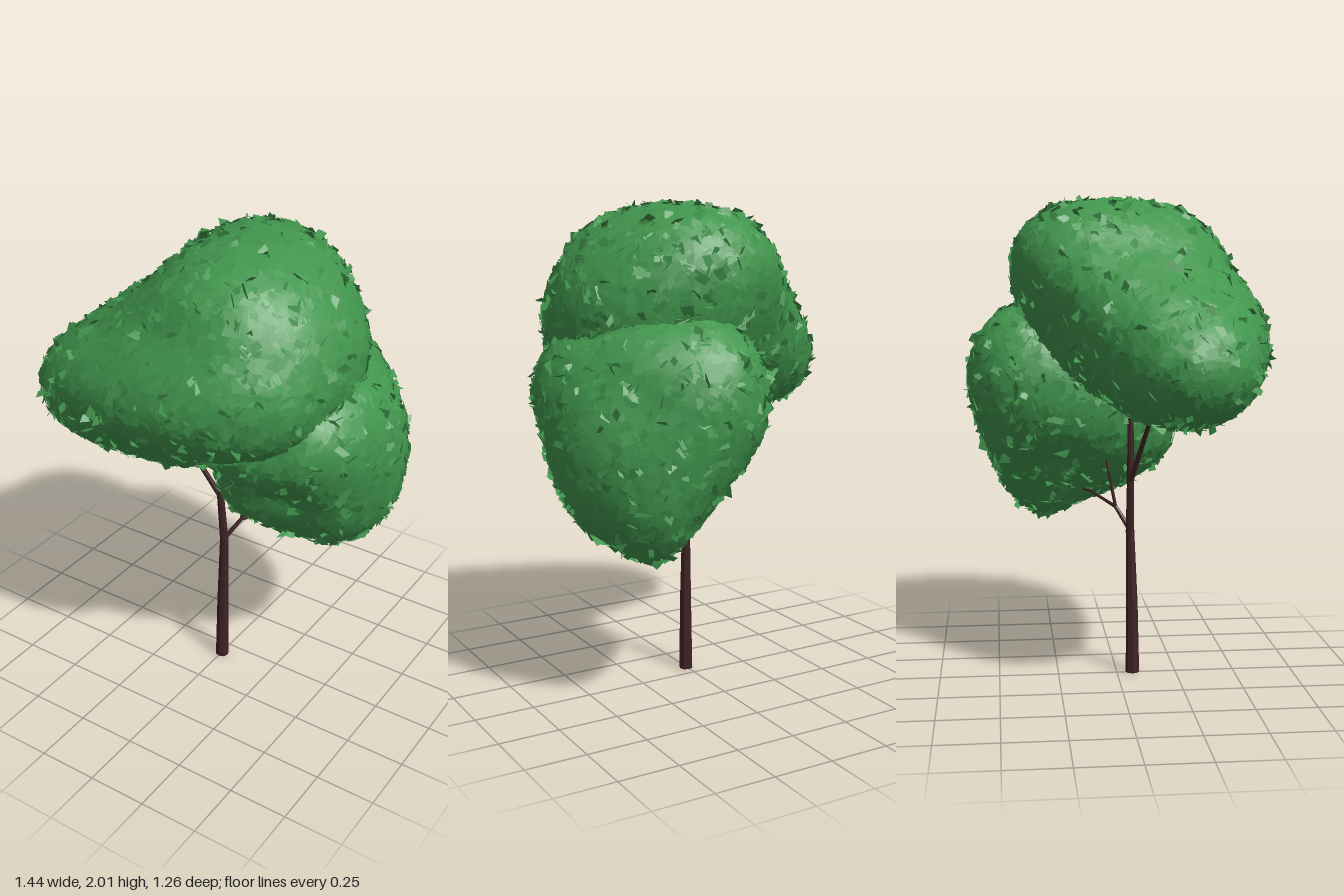
import * as THREE from 'three';
import { mergeGeometries, mergeVertices } from 'three/addons/utils/BufferGeometryUtils.js';

const V = (x, y, z) => new THREE.Vector3(x, y, z);

// Small seeded random generator
let seed = 7;
function rand() {
  seed = (seed * 1664525 + 1013904223) >>> 0;
  return seed / 4294967296;
}
const spread = (a) => (rand() * 2 - 1) * a;

// Foliage clump: ellipsoids (centre, radii), with pairs of them bridged by in-between ones
function makeClump(centre, lobes, links) {
  const all = [...lobes];
  for (const [a, b] of links) {
    for (const t of [0.25, 0.5, 0.75]) {
      all.push([0, 1].map((i) => lobes[a][i].clone().lerp(lobes[b][i], t)));
    }
  }
  return { centre, lobes: all };
}
const CROWN = makeClump(V(0.0, 1.5, 0.12), [
  [V(0.14, 1.57, 0.05), V(0.455, 0.4, 0.43)],
  [V(-0.43, 1.34, 0.24), V(0.28, 0.23, 0.27)],
  [V(-0.05, 1.45, 0.34), V(0.43, 0.22, 0.26)],
  [V(0.06, 1.74, -0.2), V(0.3, 0.23, 0.23)],
  [V(0.25, 1.52, 0.2), V(0.31, 0.3, 0.33)],
  [V(0.13, 1.68, 0.15), V(0.38, 0.3, 0.33)],
  [V(-0.07, 1.32, 0.2), V(0.38, 0.23, 0.28)],
], [[0, 1], [0, 2], [1, 2], [1, 3], [2, 4], [1, 6], [0, 3], [3, 5]]);
const SIDE = makeClump(V(0.33, 1.13, -0.18), [
  [V(0.425, 1.06, -0.17), V(0.27, 0.39, 0.3)],
  [V(0.15, 1.27, -0.36), V(0.24, 0.3, 0.26)],
  [V(0.21, 1.1, 0.06), V(0.22, 0.27, 0.23)],
  [V(0.48, 1.28, 0.0), V(0.2, 0.23, 0.31)],
  [V(0.37, 0.95, -0.28), V(0.21, 0.33, 0.24)],
  [V(0.36, 1.34, -0.2), V(0.24, 0.23, 0.24)],
  [V(0.24, 1.23, 0.13), V(0.23, 0.2, 0.24)],
], [[0, 1], [0, 2], [0, 3], [1, 5], [1, 4], [3, 6], [1, 2]]);

// Approximate signed distance to a clump, with soft joins between lobes
function distance(clump, p) {
  const k = 0.06;
  let d = 10;
  for (const [c, r] of clump.lobes) {
    const q = p.clone().sub(c).divide(r);
    const len = q.length();
    const e = (len * (len - 1)) / Math.max(q.divide(r).length(), 1e-6);
    const h = Math.max(k - Math.abs(d - e), 0) / k;
    d = Math.min(d, e) - h * h * k * 0.25;
  }
  return d + 0.013;
}

// Sphere shrunk from outside onto the clump surface
function clumpGeometry(clump) {
  let g = new THREE.IcosahedronGeometry(1, 24);
  g.deleteAttribute('normal');
  g.deleteAttribute('uv');
  g = mergeVertices(g, 1e-4);
  const pos = g.attributes.position;
  const dir = V(0, 0, 0);
  const p = V(0, 0, 0);
  for (let i = 0; i < pos.count; i++) {
    dir.fromBufferAttribute(pos, i).normalize();
    let t = 1.2;
    for (let s = 0; s < 35; s++) {
      p.copy(clump.centre).addScaledVector(dir, t);
      t -= distance(clump, p) * 0.75;
    }
    pos.setXYZ(i, p.x, p.y, p.z);
  }
  g.computeVertexNormals();
  return g;
}

// Irregular leaf flakes scattered evenly over a clump, skipping hidden places
function leafGeometry(surface, other) {
  const positions = [];
  const normals = [];
  const pos = surface.attributes.position;
  const index = surface.index;
  const tri = new THREE.Triangle();
  const n = V(0, 0, 0);
  const c = V(0, 0, 0);
  for (let i = 0; i < index.count; i += 3) {
    tri.setFromAttributeAndIndices(pos, index.getX(i), index.getX(i + 1), index.getX(i + 2));
    if (rand() > tri.getArea() / 0.0008) continue;
    tri.getMidpoint(c);
    if (distance(other, c) < -0.03) continue;
    tri.getNormal(n);
    // Most leaves lie flat, a few stick out
    const loose = rand() < 0.2;
    const tilt = loose ? 1.0 : 0.25;
    const up = n.clone().add(V(spread(tilt), spread(tilt), spread(tilt))).normalize();
    const u = V(spread(1), spread(1), spread(1)).cross(up).normalize();
    const w = up.clone().cross(u);
    c.addScaledVector(n, 0.003 + spread(0.007));
    const length = 0.02 + rand() * 0.018;
    const width = 0.012 + rand() * 0.012;
    const corner = (a, b) => c.clone()
      .addScaledVector(u, a * length * (0.7 + rand() * 0.6))
      .addScaledVector(w, b * width * (0.7 + rand() * 0.6));
    const q = [corner(-1, -0.7), corner(0.8, -1), corner(1, 0.6), corner(-0.6, 1)];
    const shade = n.clone().lerp(up, loose ? 0.8 : 0.4).normalize();
    for (const j of [0, 1, 2, 0, 2, 3]) {
      positions.push(...q[j].toArray());
      normals.push(...shade.toArray());
    }
  }
  const g = new THREE.BufferGeometry();
  g.setAttribute('position', new THREE.Float32BufferAttribute(positions, 3));
  g.setAttribute('normal', new THREE.Float32BufferAttribute(normals, 3));
  return g;
}

// Tapered limb through points [x, y, z, radius]
function limbGeometry(points) {
  const parts = [];
  for (let i = 0; i < points.length - 1; i++) {
    const a = V(...points[i].slice(0, 3));
    const b = V(...points[i + 1].slice(0, 3));
    const axis = b.clone().sub(a);
    const g = new THREE.CylinderGeometry(points[i + 1][3], points[i][3], axis.length(), 8);
    g.applyQuaternion(new THREE.Quaternion().setFromUnitVectors(V(0, 1, 0), axis.normalize()));
    const mid = a.add(b).multiplyScalar(0.5);
    g.translate(mid.x, mid.y, mid.z);
    parts.push(g);
  }
  return mergeGeometries(parts);
}

export function createModel() {
  seed = 7;
  const tree = new THREE.Group();
  tree.name = 'tree';
  const bark = new THREE.MeshStandardMaterial({ color: 0x3e2224, flatShading: true });
  bark.name = 'dark bark';
  const green = new THREE.MeshStandardMaterial({ color: 0x41954d, side: THREE.DoubleSide });
  green.name = 'leaf green';

  const add = (name, geometry, material) => {
    const mesh = new THREE.Mesh(geometry, material);
    mesh.name = name;
    tree.add(mesh);
  };

  // Trunk and branches
  const limbs = {
    trunk: [[0.003, 0, 0.067, 0.029], [0.006, 0.3, 0.064, 0.025], [0.008, 0.62, 0.056, 0.018],
      [-0.01, 0.84, 0.056, 0.015], [-0.012, 1.25, 0.056, 0.011]],
    rightBranch: [[-0.01, 0.83, 0.056, 0.012], [-0.15, 1.1, 0.12, 0.009], [-0.28, 1.3, 0.18, 0.006]],
    leftBranch: [[0.008, 0.62, 0.056, 0.011], [0.06, 0.71, 0.0, 0.008],
      [0.2, 0.757, -0.1, 0.006], [0.33, 0.765, -0.19, 0.005]],
    leftTwig: [[0.06, 0.71, 0.0, 0.007], [0.055, 0.86, -0.03, 0.006], [0.07, 1.0, -0.05, 0.005]],
  };
  for (const [name, points] of Object.entries(limbs)) add(name, limbGeometry(points), bark);

  // Foliage clumps with their leaves
  for (const [name, clump, other] of [['crown', CROWN, SIDE], ['sideClump', SIDE, CROWN]]) {
    const surface = clumpGeometry(clump);
    add(name + 'Foliage', surface, green);
    add(name + 'Leaves', leafGeometry(surface, other), green);
  }
  return tree;
}
